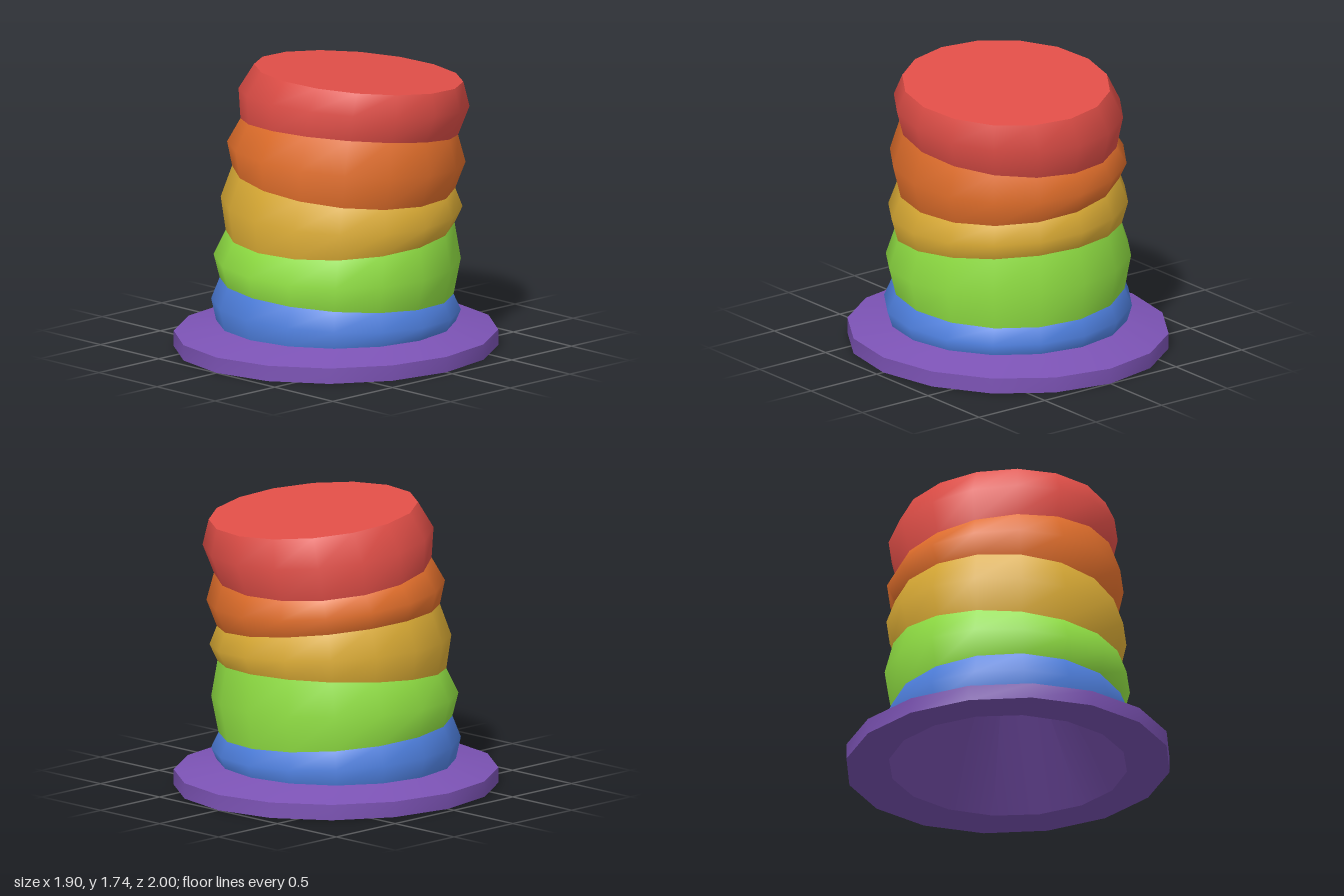
import * as THREE from 'three';

const SIDES = 16;
const mat = (name, color) => new THREE.MeshStandardMaterial({ name, color });

// Tilted oval ring from the [position, height] of its left, right, front and back extremes
function ring([x0, yx0], [x1, yx1], [z1, yz1], [z0, yz0]) {
  const cx = (x0 + x1) / 2, cz = (z0 + z1) / 2, cy = (yx0 + yx1 + yz0 + yz1) / 4;
  return Array.from({ length: SIDES }, (_, i) => {
    const t = (i / SIDES) * Math.PI * 2, c = Math.cos(t), s = Math.sin(t);
    return [
      cx + ((x1 - x0) / 2) * c,
      cy + ((yx1 - yx0) / 2) * c + ((yz1 - yz0) / 2) * s,
      cz + ((z1 - z0) / 2) * s,
    ];
  });
}

const level = (rx, rz, y) => ring([-rx, y], [rx, y], [rz, y], [-rz, y]);

// All points of a ring drawn together to its middle, for closing a cap
function middle(points) {
  const c = [0, 1, 2].map((k) => points.reduce((sum, p) => sum + p[k], 0) / SIDES);
  return points.map(() => c);
}

// Smooth skin through successive rings
function loft(name, material, rings) {
  const index = [];
  for (let r = 0; r < rings.length - 1; r++) {
    for (let i = 0; i < SIDES; i++) {
      const j = (i + 1) % SIDES;
      const a = r * SIDES + i, b = r * SIDES + j;
      index.push(a, a + SIDES, b, b, a + SIDES, b + SIDES);
    }
  }
  const g = new THREE.BufferGeometry();
  g.setAttribute('position', new THREE.Float32BufferAttribute(rings.flat(2), 3));
  g.setIndex(index);
  g.computeVertexNormals();
  const mesh = new THREE.Mesh(g, material);
  mesh.name = name;
  return mesh;
}

export function createModel() {
  const model = new THREE.Group();
  model.name = 'stripedHat';
  const purple = mat('purple', 0x7c53b5);
  const red = mat('red', 0xe24f48);
  const bandMaterials = [
    mat('blue', 0x5082e2),
    mat('green', 0x92e244),
    mat('yellow', 0xdeae36),
    mat('orange', 0xe4702c),
    red,
  ];

  // Alternating seams and bulges up the crown: left, right, front, back
  const crown = [
    level(0.72, 0.72, 0.155),
    ring([-0.75, 0.28], [0.75, 0.24], [0.75, 0.28], [-0.75, 0.23]),
    ring([-0.70, 0.41], [0.70, 0.35], [0.70, 0.40], [-0.71, 0.32]),
    ring([-0.74, 0.58], [0.745, 0.53], [0.735, 0.54], [-0.75, 0.56]),
    ring([-0.67, 0.75], [0.70, 0.72], [0.67, 0.69], [-0.71, 0.79]),
    ring([-0.705, 0.94], [0.745, 0.85], [0.70, 0.88], [-0.755, 0.89]),
    ring([-0.64, 1.12], [0.695, 0.98], [0.635, 1.06], [-0.71, 1.01]),
    ring([-0.68, 1.23], [0.755, 1.17], [0.665, 1.25], [-0.765, 1.14]),
    ring([-0.61, 1.34], [0.705, 1.37], [0.585, 1.43], [-0.715, 1.265]),
    ring([-0.63, 1.54], [0.76, 1.53], [0.605, 1.60], [-0.78, 1.46]),
    ring([-0.535, 1.71], [0.72, 1.67], [0.53, 1.735], [-0.73, 1.625]),
  ];
  bandMaterials.forEach((m, i) => {
    model.add(loft(`${m.name}Band`, m, crown.slice(i * 2, i * 2 + 3)));
  });
  const top = crown[10];
  model.add(loft('crownTop', red, [top, middle(top)]));

  // Brim: underside, rim and sloping upper face, each with sharp edges between
  const hole = level(0.72, 0.72, 0);
  const rimLow = level(0.95, 1, 0);
  const rimHigh = level(0.95, 1, 0.095);
  const brim = new THREE.Group();
  brim.name = 'brim';
  brim.add(
    loft('brimUnderside', purple, [hole, rimLow]),
    loft('brimRim', purple, [rimLow, rimHigh]),
    loft('brimTop', purple, [rimHigh, crown[0]]),
  );
  model.add(brim);

  // Hollow under the brim, narrowing to a point inside the crown
  const lining = new THREE.ConeGeometry(0.72, 1.1, SIDES, 1, true);
  lining.translate(0, 0.55, 0);
  // Turn the faces and normals inward
  lining.index.array.reverse();
  lining.computeVertexNormals();
  const hollow = new THREE.Mesh(lining, purple);
  hollow.name = 'lining';
  model.add(hollow);
  return model;
}
